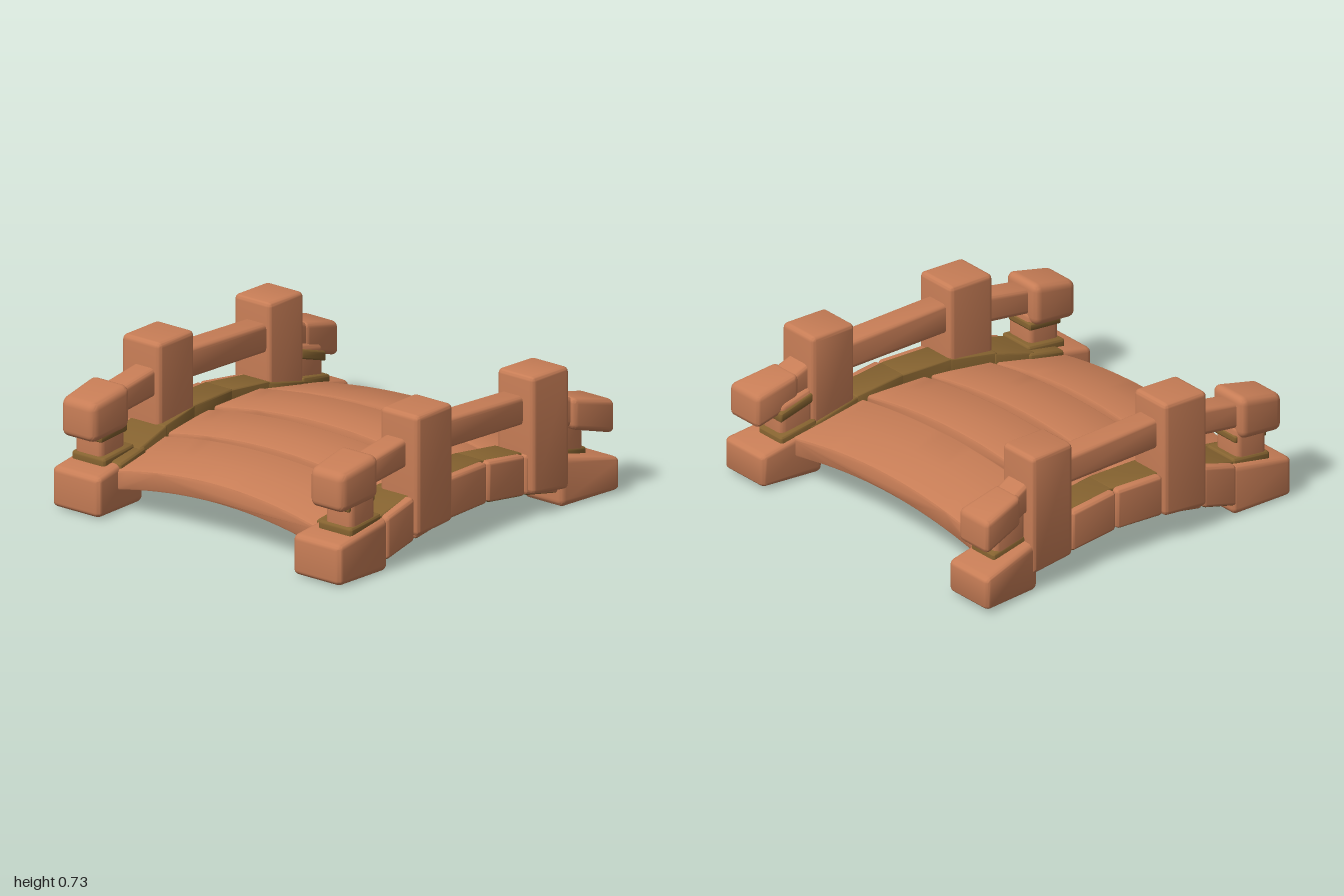
import * as THREE from 'three';
import { toCreasedNormals } from 'three/addons/utils/BufferGeometryUtils.js';
import { RoundedBoxGeometry } from 'three/addons/geometries/RoundedBoxGeometry.js';

const wood = new THREE.MeshStandardMaterial({ color: 0xc77d56 });
wood.name = 'warmWood';
const moss = new THREE.MeshStandardMaterial({ color: 0x866330 });
moss.name = 'mossyWood';

const lerp = THREE.MathUtils.lerp;

// Rounded block between two cross-sections [z, x0, x1, y0, y1], back one first
function block(name, side, back, front, radius, material) {
  const flip = (s) => (side > 0 ? s : [s[0], -s[2], -s[1], s[3], s[4]]);
  const a = flip(back), b = flip(front);
  const w = (a[2] - a[1] + b[2] - b[1]) / 2;
  const h = (a[4] - a[3] + b[4] - b[3]) / 2;
  const d = b[0] - a[0];
  const geo = new RoundedBoxGeometry(w, h, d, 3, radius);
  const p = geo.attributes.position;
  for (let i = 0; i < p.count; i++) {
    const u = p.getX(i) / w + 0.5, v = p.getY(i) / h + 0.5, t = p.getZ(i) / d + 0.5;
    p.setXYZ(i,
      lerp(lerp(a[1], a[2], u), lerp(b[1], b[2], u), t),
      lerp(lerp(a[3], a[4], v), lerp(b[3], b[4], v), t),
      lerp(a[0], b[0], t));
  }
  const mesh = new THREE.Mesh(toCreasedNormals(geo, 0.7), material);
  mesh.name = name;
  return mesh;
}

// Plank arched across the bridge and sloped along it
function plank(zBack, zFront, wBack, wFront, yBack, yFront) {
  const n = 20, bevel = 0.012, thick = 0.1, drop = 0.068;
  const depth = zFront - zBack;
  const arc = (u) => -drop * u * u;
  const pts = [];
  for (let i = 0; i <= n; i++) {
    const u = (i / n) * 2 - 1;
    pts.push(new THREE.Vector2(u, arc(u) - thick + bevel));
  }
  for (let i = n; i >= 0; i--) {
    const u = (i / n) * 2 - 1;
    pts.push(new THREE.Vector2(u, arc(u) - bevel));
  }
  const geo = new THREE.ExtrudeGeometry(new THREE.Shape(pts), {
    depth: depth - 2 * bevel, bevelEnabled: true, bevelSize: bevel,
    bevelThickness: bevel, bevelSegments: 2, steps: 2,
  });
  geo.translate(0, 0, bevel);
  const p = geo.attributes.position;
  for (let i = 0; i < p.count; i++) {
    const u = p.getX(i), t = p.getZ(i) / depth;
    const waist = 1 - 0.06 * Math.max(0, 1 - u * u);
    p.setXYZ(i, u * lerp(wBack, wFront, t), p.getY(i) + lerp(yBack, yFront, t),
      zBack + depth * (0.5 + (t - 0.5) * waist));
  }
  const mesh = new THREE.Mesh(toCreasedNormals(geo, 0.6), wood);
  mesh.name = 'plank';
  return mesh;
}

export function createModel() {
  const model = new THREE.Group();
  model.name = 'footbridge';

  // Deck
  const deck = new THREE.Group();
  deck.name = 'deck';
  deck.add(
    plank(-0.77, -0.345, 0.71, 0.71, 0.3, 0.375),
    plank(-0.325, 0.025, 0.71, 0.70, 0.385, 0.385),
    plank(0.055, 0.4, 0.70, 0.68, 0.38, 0.355),
    plank(0.42, 0.815, 0.665, 0.63, 0.35, 0.285));
  model.add(deck);

  // Arched side beam stations: z, underside, top, inner x
  const stations = [
    [-0.66, 0.07, 0.26, 0.705], [-0.38, 0.125, 0.33, 0.705], [-0.105, 0.16, 0.365, 0.7],
    [0.18, 0.15, 0.36, 0.69], [0.42, 0.11, 0.33, 0.655], [0.63, 0.06, 0.275, 0.63],
  ];

  for (const side of [1, -1]) {
    const half = new THREE.Group();
    half.name = side > 0 ? 'leftSide' : 'rightSide';
    const add = (name, back, front, r = 0.025, mat = wood) =>
      half.add(block(name, side, back, front, r, mat));

    // Beam: wooden outer blocks over a mossy inner core
    const clad = [wood, wood, wood, moss, wood, wood];
    clad[side > 0 ? 1 : 0] = moss;
    for (let i = 0; i < stations.length - 1; i++) {
      const [z0, b0, t0, x0] = stations[i], [z1, b1, t1, x1] = stations[i + 1];
      add('beamBlock', [z0 + 0.003, 0.8, 0.91, b0, t0], [z1 - 0.003, 0.8, 0.91, b1, t1], 0.02, clad);
      add('beamCore', [z0 - 0.01, x0, 0.872, b0 - 0.002, t0 + 0.003],
        [z1 + 0.01, x1, 0.872, b1 - 0.002, t1 + 0.003], 0.01, moss);
    }

    // Mossy patches in the seams below the planks
    for (const [z, y] of [[-0.335, 0.295], [0.04, 0.3], [0.41, 0.27]]) {
      for (const x of [0.2, 0.5]) {
        const top = y - 0.12 * x * x;
        add('seamMoss', [z - 0.02, x, x + 0.14, top - 0.02, top], [z + 0.02, x, x + 0.14, top - 0.02, top], 0.006, moss);
      }
    }

    // Feet, with moss along the inner top edge of the front one
    add('frontFoot', [0.61, 0.63, 0.905, 0.01, 0.275], [0.965, 0.605, 0.905, 0.015, 0.215], 0.03);
    add('backFoot', [-0.965, 0.7, 0.998, 0.025, 0.19], [-0.605, 0.69, 0.935, 0.01, 0.27], 0.03);
    add('frontFootMoss', [0.6, 0.622, 0.7, 0.2, 0.283], [0.8, 0.612, 0.7, 0.18, 0.249], 0.015, moss);

    // Tall posts
    add('frontPost', [0.17, 0.69, 0.93, 0.15, 0.74], [0.43, 0.69, 0.93, 0.13, 0.735], 0.025);
    add('backPost', [-0.65, 0.715, 0.95, 0.1, 0.715], [-0.395, 0.71, 0.94, 0.13, 0.72], 0.025);

    // Short stumps on the feet, mossy around the base and below the knobs
    add('frontStump', [0.66, 0.7, 0.87, 0.2, 0.45], [0.84, 0.7, 0.87, 0.2, 0.42], 0.03);
    add('backStump', [-0.82, 0.74, 0.89, 0.18, 0.4], [-0.63, 0.73, 0.88, 0.2, 0.45], 0.03);
    add('frontStumpMoss', [0.63, 0.67, 0.878, 0.22, 0.295], [0.852, 0.67, 0.878, 0.2, 0.272], 0.015, moss);
    add('backStumpMoss', [-0.84, 0.715, 0.892, 0.18, 0.25], [-0.63, 0.705, 0.885, 0.2, 0.29], 0.015, moss);
    add('frontCollarMoss', [0.655, 0.692, 0.86, 0.36, 0.4], [0.846, 0.692, 0.86, 0.345, 0.385], 0.01, moss);
    add('backCollarMoss', [-0.828, 0.732, 0.87, 0.315, 0.365], [-0.64, 0.722, 0.87, 0.375, 0.425], 0.01, moss);

    // Handrail and its end knobs
    add('middleRail', [-0.42, 0.735, 0.875, 0.465, 0.61], [0.2, 0.725, 0.865, 0.485, 0.638]);
    add('frontRail', [0.4, 0.72, 0.855, 0.465, 0.61], [0.7, 0.72, 0.855, 0.43, 0.56]);
    add('backRail', [-0.83, 0.77, 0.92, 0.335, 0.475], [-0.62, 0.75, 0.9, 0.42, 0.575]);
    add('frontKnob', [0.665, 0.66, 0.9, 0.385, 0.608], [0.925, 0.675, 0.885, 0.36, 0.555], 0.04);
    add('backKnob', [-0.95, 0.755, 0.98, 0.305, 0.478], [-0.7, 0.75, 0.93, 0.375, 0.535], 0.03);
    model.add(half);
  }
  return model;
}
